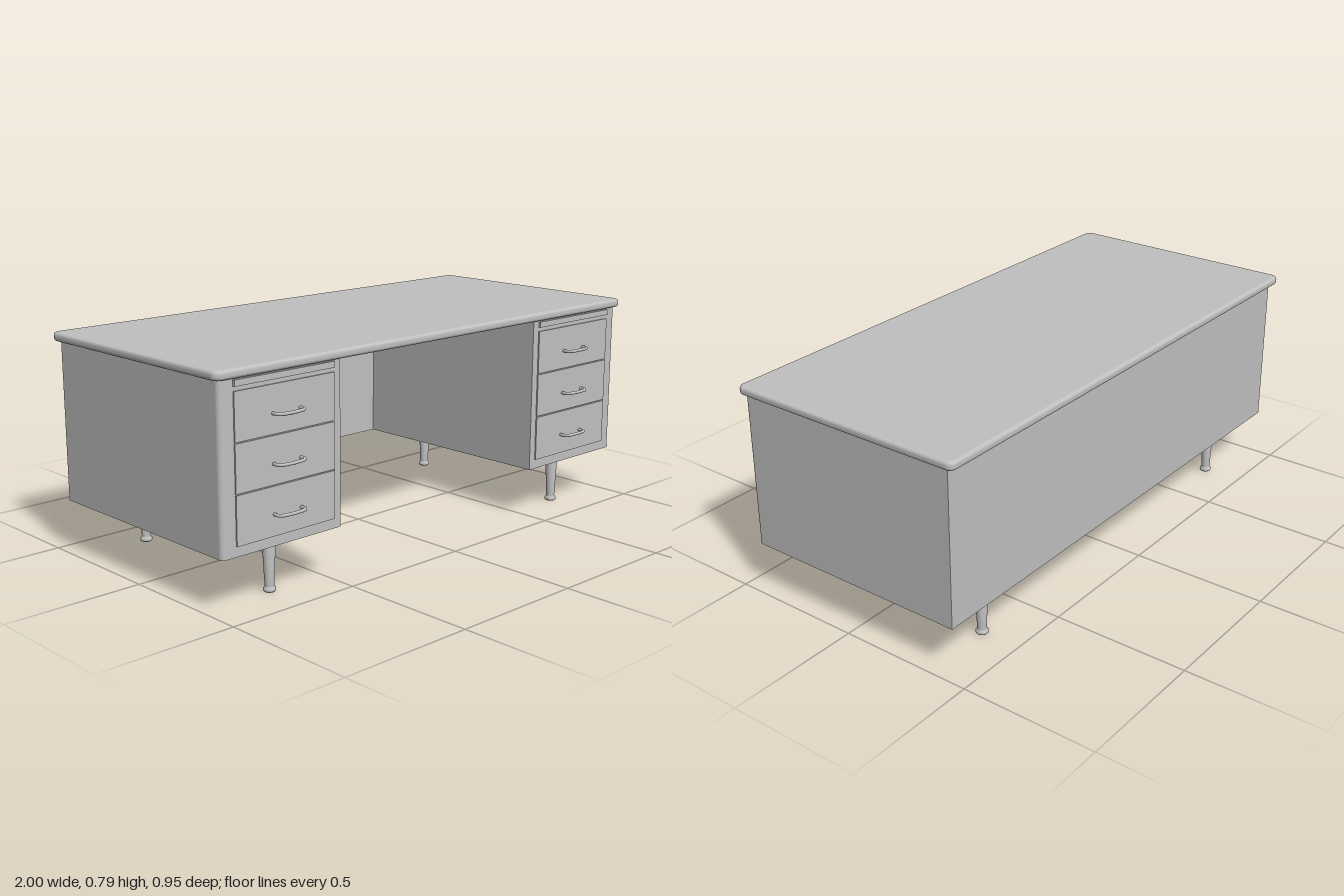
import * as THREE from 'three';

export function createModel() {
  const desk = new THREE.Group();
  desk.name = 'desk';
  const grey = new THREE.MeshStandardMaterial({ color: 0xc0c0c0 });
  grey.name = 'light grey';

  function add(parent, name, geometry, x = 0, y = 0, z = 0) {
    const mesh = new THREE.Mesh(geometry, grey);
    mesh.name = name;
    mesh.position.set(x, y, z);
    parent.add(mesh);
    return mesh;
  }

  // Box given by its x, y and z limits
  function box(parent, name, x0, x1, y0, y1, z0, z1) {
    return add(parent, name, new THREE.BoxGeometry(Math.abs(x1 - x0), y1 - y0, z1 - z0),
      (x0 + x1) / 2, (y0 + y1) / 2, (z0 + z1) / 2);
  }

  // Floor-plan outline with rounded corners; shape y is -z
  function plan(x0, x1, z0, z1, radii) {
    const shape = new THREE.Shape();
    const corners = [[x1, -z1, -1, 0], [x1, -z0, 0, 1], [x0, -z0, 1, 2], [x0, -z1, 1, 3]];
    const signs = [[-1, 1], [-1, -1], [1, -1], [1, 1]];
    corners.forEach(([cx, cy], i) => {
      const r = radii[i];
      if (r === 0) {
        if (i === 0) shape.moveTo(cx, cy); else shape.lineTo(cx, cy);
        return;
      }
      const start = -Math.PI / 2 + i * Math.PI / 2;
      shape.absarc(cx + signs[i][0] * r, cy + signs[i][1] * r, r, start, start + Math.PI / 2, false);
    });
    shape.closePath();
    return shape;
  }

  // Table top with rounded rim and corners
  const bevel = 0.012;
  const top = new THREE.ExtrudeGeometry(
    plan(-1 + bevel, 1 - bevel, -0.472 + bevel, 0.443 - bevel, [0.015, 0.015, 0.015, 0.015]),
    { depth: 0.032 - 2 * bevel, bevelEnabled: true, bevelSize: bevel, bevelThickness: bevel,
      bevelSegments: 4, curveSegments: 5 });
  top.rotateX(-Math.PI / 2);
  add(desk, 'tableTop', top, 0, 0.755 + bevel, 0);

  // Back panel closing the knee space
  box(desk, 'backPanel', -0.486, 0.486, 0.187, 0.756, -0.44, -0.42);

  // Bowed drawer pull
  const pullPath = new THREE.CatmullRomCurve3([
    [-0.056, 0], [-0.056, 0.02], [-0.046, 0.031], [-0.02, 0.036],
    [0.02, 0.036], [0.046, 0.031], [0.056, 0.02], [0.056, 0],
  ].map(([x, z]) => new THREE.Vector3(x, 0, z)));
  const pull = new THREE.TubeGeometry(pullPath, 32, 0.006, 8);

  // Turned leg profile with a ferrule foot
  const legProfile = [
    [0, 0], [0.018, 0], [0.022, 0.004], [0.022, 0.011], [0.018, 0.016],
    [0.016, 0.02], [0.0235, 0.183], [0, 0.183],
  ].map(([r, y]) => new THREE.Vector2(r, y));
  const leg = new THREE.LatheGeometry(legProfile, 24);

  for (const side of [-1, 1]) {
    const half = new THREE.Group();
    half.name = side > 0 ? 'leftPedestal' : 'rightPedestal';
    desk.add(half);

    // Cabinet, rounded on its outer front edge
    const outline = side > 0
      ? plan(0.486, 0.98, -0.44, 0.428, [0.018, 0, 0, 0])
      : plan(-0.98, -0.486, -0.44, 0.428, [0, 0, 0, 0.018]);
    const cabinet = new THREE.ExtrudeGeometry(outline, { depth: 0.569, bevelEnabled: false, curveSegments: 6 });
    cabinet.rotateX(-Math.PI / 2);
    add(half, 'cabinet', cabinet, 0, 0.187, 0);

    // Pull-out writing board
    box(half, 'writingBoard', side * 0.515, side * 0.925, 0.73, 0.751, 0.42, 0.436);

    // Three drawers with pulls
    [[0.555, 0.715, 0.623], [0.391, 0.551, 0.46], [0.222, 0.387, 0.295]].forEach(([y0, y1, pullY]) => {
      box(half, 'drawerFront', side * 0.515, side * 0.925, y0, y1, 0.42, 0.433);
      add(half, 'drawerPull', pull, side * 0.718, pullY, 0.431);
    });

    // Legs on square mounting plates
    for (const z of [0.343, -0.35]) {
      box(half, 'legPlate', side * 0.725 - 0.047, side * 0.725 + 0.047, 0.182, 0.188, z - 0.047, z + 0.047);
      add(half, 'leg', leg, side * 0.725, 0, z);
    }
  }
  return desk;
}
